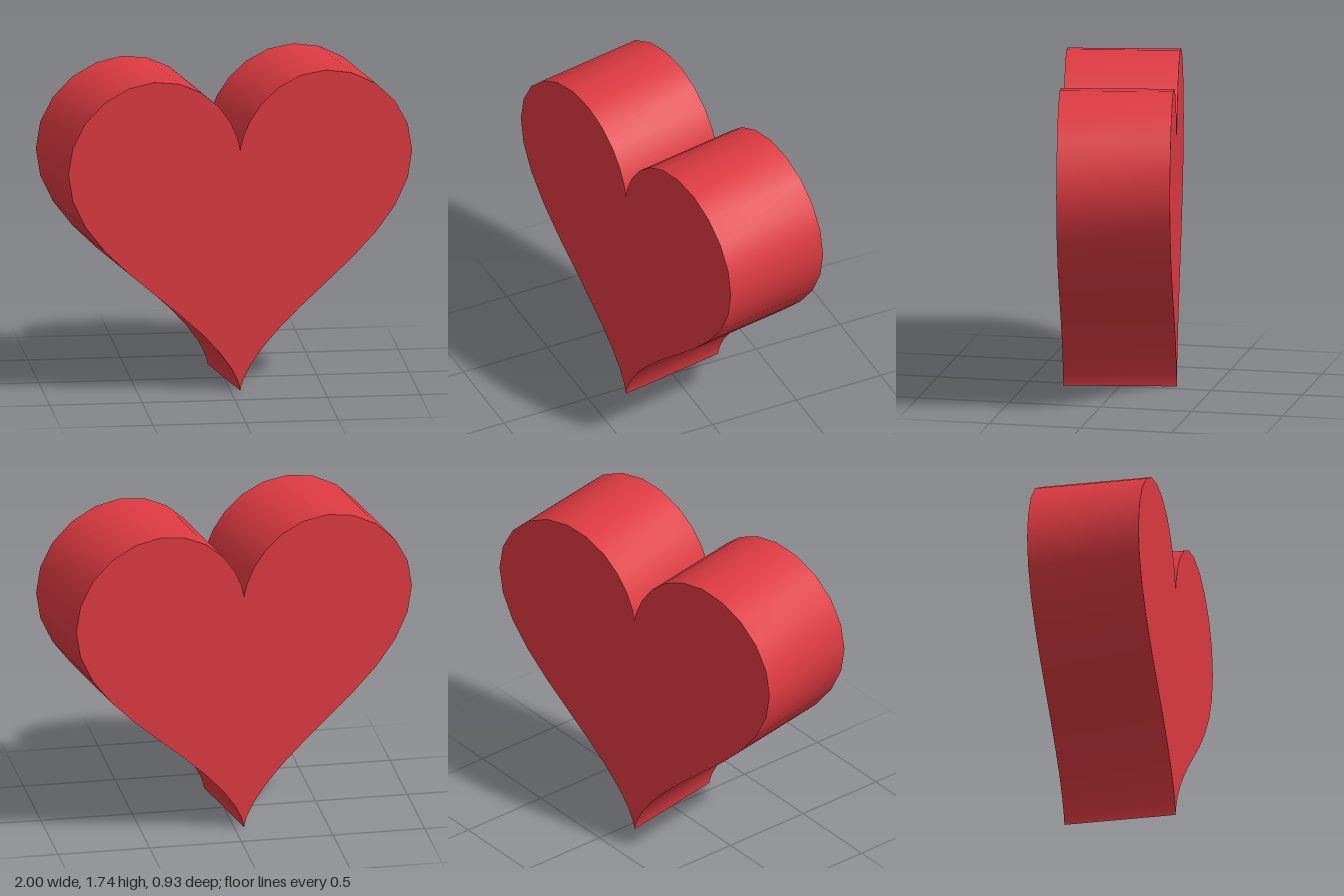
import * as THREE from 'three';
import { toCreasedNormals } from 'three/addons/utils/BufferGeometryUtils.js';

const SEGMENTS = 48;
const SCALE = 0.0601;
const DEPTH = 0.61;

export function createModel() {
  const group = new THREE.Group();
  group.name = 'heartModel';

  const red = new THREE.MeshStandardMaterial({ color: 0xdc3a41 });
  red.name = 'red';

  // Heart curve, with its tip resting on y = 0
  const points = [];
  for (let i = 0; i < SEGMENTS; i++) {
    const t = (i / SEGMENTS) * Math.PI * 2;
    const x = 16 * Math.sin(t) ** 3;
    const y = 13 * Math.cos(t) - 5 * Math.cos(2 * t) - 2 * Math.cos(3 * t) - Math.cos(4 * t);
    points.push(new THREE.Vector2(x * SCALE, (y + 17) * SCALE));
  }

  // Thick slab with smooth sides, sharp at the rims, notch and tip
  const slab = new THREE.ExtrudeGeometry(new THREE.Shape(points), { depth: DEPTH, bevelEnabled: false });
  slab.translate(0, 0, -DEPTH / 2);
  const heart = new THREE.Mesh(toCreasedNormals(slab, 0.8), red);
  heart.name = 'heart';
  heart.rotation.y = THREE.MathUtils.degToRad(10);
  group.add(heart);

  return group;
}
